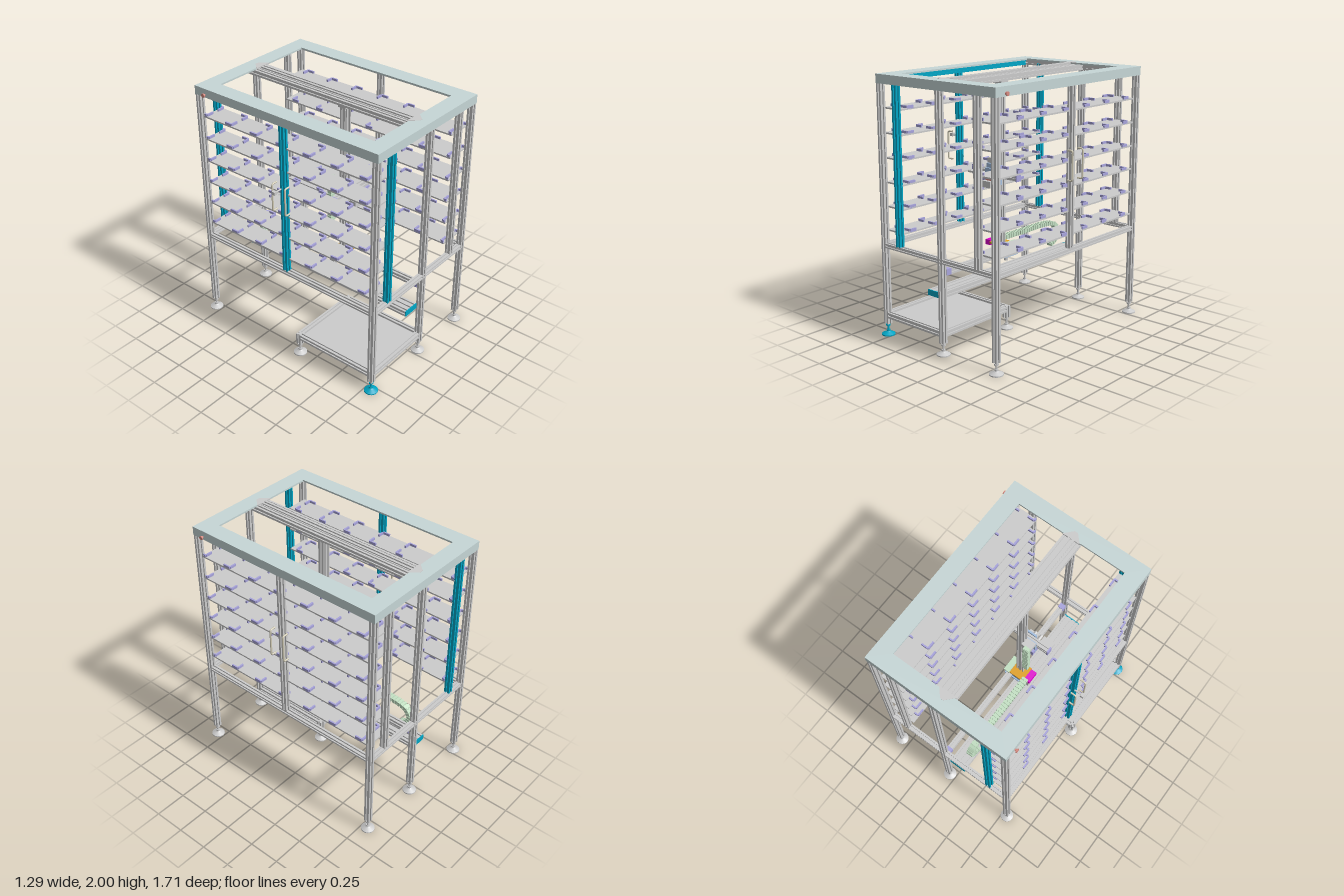
import * as THREE from 'three';

const mat = (color) => new THREE.MeshStandardMaterial({ color, side: THREE.DoubleSide });
const GREY = mat(0xcccccc), CYAN = mat(0x00a5c4), PALE = mat(0xc6d6d6), LILAC = mat(0xa8a4dc),
  GREEN = mat(0xc3e0c3), BLUE = mat(0xa3bfe0), MAGENTA = mat(0xe000d0), RED = mat(0xd88a80),
  CREAM = mat(0xd8d2bc), ORANGE = mat(0xe0a020);
const P = 0.044; // width of one slotted profile

export function createModel() {
  const model = new THREE.Group();
  const add = (name, geo, m = GREY, x = 0, y = 0, z = 0) => {
    const mesh = new THREE.Mesh(geo, m);
    mesh.name = name;
    mesh.position.set(x, y, z);
    model.add(mesh);
    return mesh;
  };
  // box from min and max on each axis
  const box = (name, x0, x1, y0, y1, z0, z1, m) =>
    add(name, new THREE.BoxGeometry(x1 - x0, y1 - y0, z1 - z0), m, (x0 + x1) / 2, (y0 + y1) / 2, (z0 + z1) / 2);
  const cyl = (name, r, h, x, y, z, m, axis = 'y') => {
    const c = add(name, new THREE.CylinderGeometry(r, r, h, 20), m, x, y, z);
    if (axis === 'x') c.rotation.z = Math.PI / 2;
    if (axis === 'z') c.rotation.x = Math.PI / 2;
    return c;
  };

  // slotted aluminium bar: grooves run along every side
  const slotShape = (w, h) => {
    const pts = [], g = 0.006, d = 0.01;
    const corners = [[-w / 2, -h / 2], [w / 2, -h / 2], [w / 2, h / 2], [-w / 2, h / 2]];
    corners.forEach(([ax, ay], i) => {
      const [bx, by] = corners[(i + 1) % 4];
      const len = Math.hypot(bx - ax, by - ay), ux = (bx - ax) / len, uy = (by - ay) / len;
      const n = Math.max(1, Math.round(len / P));
      const at = (t, s) => pts.push(new THREE.Vector2(ax + ux * t - uy * s, ay + uy * t + ux * s));
      at(0, 0);
      for (let k = 0; k < n; k++) {
        const c = len * (k + 0.5) / n;
        at(c - g, 0); at(c - g, d); at(c + g, d); at(c + g, 0);
      }
    });
    return new THREE.Shape(pts);
  };
  const bar = (name, axis, a, b, x, y, z, m = GREY, w = P, h = P) => {
    const geo = new THREE.ExtrudeGeometry(slotShape(w, h), { depth: b - a, bevelEnabled: false });
    geo.translate(0, 0, a);
    if (axis === 'x') geo.rotateY(Math.PI / 2);
    if (axis === 'y') geo.rotateX(-Math.PI / 2);
    return add(name, geo, m, x, y, z);
  };

  // main posts
  for (const z of [-0.805, 0.805]) {
    for (const x of [-0.542, 0.055, 0.572]) bar('post', 'y', 0.09, 1.95, x, 0, z);
    bar('shelfPostRight', 'y', 0.73, 1.95, -0.38, 0, z, CYAN);
    bar('shelfPostLeft', 'y', 0.73, 1.95, 0.412, 0, z);
    bar('middleCrossbar', 'x', -0.52, 0.55, 0, 0.717, z, GREY, P, 0.034);
    bar('topCrossbar', 'x', -0.52, 0.55, 0, 1.956, z);
  }
  for (const [x, m] of [[-0.542, CYAN], [0.572, GREY]]) {
    bar('sideMiddlePost', 'y', 0.73, 1.95, x, 0, 0, m);
    bar('sideTopBar', 'z', -0.783, 0.783, x, 1.956, 0, m);
    bar('sideLowerBar', 'z', -0.783, 0.783, x, 0.717, 0, GREY, P, 0.036);
  }

  // levelling feet
  const footProfile = [[0, 0], [0.052, 0], [0.052, 0.009], [0.022, 0.024], [0.014, 0.03], [0.014, 0.042],
    [0.008, 0.042], [0.008, 0.072], [0.017, 0.072], [0.017, 0.084], [0.008, 0.084], [0.008, 0.1], [0, 0.1]]
    .map(([r, y]) => new THREE.Vector2(r, y));
  for (const x of [-0.542, 0.055, 0.572]) for (const z of [-0.805, 0.115, 0.805]) {
    if (x > 0.5 && z === 0.115) continue;
    const foot = add('foot', new THREE.LatheGeometry(footProfile, 28), x < -0.5 && z > 0.5 ? CYAN : GREY, x, 0, z);
    foot.geometry = foot.geometry.toNonIndexed();
    foot.geometry.computeVertexNormals();
  }

  // roof cover: flat ring with an outer skirt
  const ring = (o, i, y0, y1, name) => {
    const rect = (p, [x0, x1, z]) =>
      p.moveTo(x0, -z).lineTo(x1, -z).lineTo(x1, z).lineTo(x0, z).closePath();
    const s = rect(new THREE.Shape(), o);
    s.holes.push(rect(new THREE.Path(), i));
    const geo = new THREE.ExtrudeGeometry(s, { depth: y1 - y0, bevelEnabled: false });
    add(name, geo.rotateX(-Math.PI / 2), PALE, 0, y0, 0);
  };
  ring([-0.565, 0.595, 0.83], [-0.433, 0.46, 0.698], 1.985, 1.998, 'roofPlate');
  ring([-0.565, 0.595, 0.83], [-0.561, 0.591, 0.826], 1.93, 1.998, 'roofSkirt');

  // roof beam with pointed ends
  bar('roofBeam', 'z', -0.78, 0.78, 0.008, 1.957, 0, GREY, 0.145, P);
  bar('roofRail', 'z', -0.7, 0.7, 0.008, 1.989, 0, GREY, 0.05, 0.02);
  for (const s of [-1, 1]) {
    const tip = new THREE.Shape([[-0.065, 0.69], [0.08, 0.69], [0.022, 0.755], [-0.005, 0.755]]
      .map(([x, z]) => new THREE.Vector2(x, -s * z)));
    add('beamTip', new THREE.ExtrudeGeometry(tip, { depth: 0.01, bevelEnabled: false }).rotateX(-Math.PI / 2), GREY, 0, 1.99, 0);
  }

  // shelves with corner clips on both edges
  const shelfY = [0.83, 1.012, 1.196, 1.38, 1.565, 1.75];
  for (const [s, inner, outer] of [[-1, -0.357, -0.535], [1, 0.362, 0.565]]) for (const y of shelfY) {
    box('shelf', Math.min(inner, outer), Math.max(inner, outer), y - 0.006, y + 0.006, -0.785, 0.785);
    for (let k = 0; k < 7; k++) {
      const z = -0.72 * s + s * k * 0.2465;
      if (Math.abs(z) > 0.78) continue;
      const z1 = THREE.MathUtils.clamp(z + s * 0.06, -0.78, 0.78);
      for (const [x, d] of [[inner, s], [outer, -s]]) {
        const xa = x + d * 0.006, xb = x + d * 0.062;
        box('clipArm', Math.min(xa, xb), Math.max(xa, xb), y, y + 0.024, z - 0.006, z + 0.006, LILAC);
        box('clipStop', xa - 0.006, xa + 0.006, y, y + 0.024, Math.min(z, z1), Math.max(z, z1), LILAC);
      }
    }
  }

  // low tray stand at the front
  for (const z of [0.115, 0.805]) bar('trayCrossbar', 'x', -0.52, 0.033, 0, 0.163, z);
  for (const x of [-0.542, 0.055]) {
    bar('traySidebar', 'z', 0.137, 0.783, x, 0.163, 0);
    bar('trayLeg', 'y', 0.09, 0.185, x, 0, 0.115);
  }
  box('trayPlate', -0.525, 0.04, 0.155, 0.167, 0.13, 0.79);

  // floor rails for the moving column
  bar('upperRail', 'z', -0.783, 0.783, 0.055, 0.626, 0);
  bar('lowerRail', 'z', -0.783, 0.783, -0.04, 0.44, 0, GREY, 0.14, P);
  for (const s of [-1, 1]) {
    box('railEndBlock', 0.03, 0.08, 0.605, 0.652, s * 0.76 - 0.022, s * 0.76 + 0.022, LILAC);
    box('railEndCap', -0.11, 0.03, 0.418, 0.462, s * 0.786 - 0.004, s * 0.786 + 0.004, CYAN);
  }

  // moving column and its foot carriage
  bar('column', 'y', 0.65, 1.93, -0.005, 0, 0.115, GREY, 0.066, P);
  box('columnHead', -0.045, 0.04, 1.91, 1.935, 0.08, 0.15);
  box('columnRail', 0.012, 0.022, 0.75, 1.9, 0.137, 0.147);
  box('carriagePlate', -0.04, 0.1, 0.595, 0.61, 0.03, 0.185, BLUE);
  box('carriageFront', -0.04, 0.03, 0.61, 0.7, 0.165, 0.18, LILAC);
  box('carriageBack', -0.04, 0.03, 0.61, 0.66, 0.04, 0.055, BLUE);
  box('carriageTop', -0.08, 0.1, 0.672, 0.685, 0.03, 0.16, ORANGE);
  box('carriageCover', 0.05, 0.1, 0.685, 0.7, 0.02, 0.16, GREEN);
  box('cableBox', -0.13, -0.08, 0.655, 0.695, 0.05, 0.15, MAGENTA);
  box('driveMotor', -0.115, -0.078, 0.555, 0.655, 0.06, 0.1);
  cyl('motorShaft', 0.015, 0.06, 0.02, 0.57, 0.08);

  // lifting arm
  bar('arm', 'x', -0.205, 0.225, 0, 1.24, 0.178, GREY, P, 0.05);
  for (const x of [-0.207, 0.227]) box('armEnd', x - 0.006, x + 0.006, 1.21, 1.27, 0.153, 0.203, LILAC);
  box('liftPlate', -0.11, 0.03, 1.15, 1.3, 0.137, 0.155, BLUE);
  box('liftBlock', -0.07, 0.03, 1.2, 1.28, 0.2, 0.215, BLUE);
  box('gripperBody', -0.06, 0.02, 1.14, 1.19, 0.155, 0.26);
  box('gripperPad', -0.05, 0.01, 1.165, 1.215, 0.205, 0.23, RED);
  for (const x of [-0.09, -0.04]) cyl('gripperPin', 0.013, 0.05, x, 1.235, 0.225, GREY, 'z');
  box('armFinger', -0.21, -0.11, 1.232, 1.246, 0.2, 0.255);
  box('liftMotor', -0.11, -0.075, 1.14, 1.2, 0.11, 0.2, LILAC);

  // cable chains made of links along a path
  const chain = (name, pts, x, width, count) => {
    const path = new THREE.CatmullRomCurve3(pts.map(([y, z]) => new THREE.Vector3(x, y, z)), false, 'centripetal');
    const step = path.getLength() / count;
    for (let i = 0; i < count; i++) {
      const u = (i + 0.5) / count, t = path.getTangentAt(u), p = path.getPointAt(u);
      const angle = Math.atan2(-t.y, t.z);
      const link = add(name, new THREE.BoxGeometry(width, 0.034, step * 0.7), GREEN, p.x, p.y, p.z);
      const core = add(name + 'Core', new THREE.BoxGeometry(width * 0.8, 0.022, step * 1.1), GREEN, p.x, p.y, p.z);
      link.rotation.x = core.rotation.x = angle;
    }
  };
  chain('floorChain', [[0.685, 0.06], [0.685, -0.25], [0.68, -0.57], [0.655, -0.64], [0.59, -0.672],
    [0.525, -0.64], [0.495, -0.58]], -0.088, 0.055, 34);
  chain('columnChain', [[0.97, 0.055], [1.15, 0.055], [1.36, 0.055]], -0.088, 0.05, 16);
  box('chainBracket', -0.115, -0.03, 1.3, 1.34, 0.07, 0.137);

  // pull handles on both sides
  for (const [s, x] of [[-1, -0.56], [1, 0.59]]) for (const z of [-0.06, 0.06]) {
    const path = new THREE.CurvePath();
    const v = (dx, y) => new THREE.Vector3(x + s * dx, y, z);
    path.add(new THREE.LineCurve3(v(0, 1.255), v(0.03, 1.255)));
    path.add(new THREE.QuadraticBezierCurve3(v(0.03, 1.255), v(0.045, 1.255), v(0.045, 1.27)));
    path.add(new THREE.LineCurve3(v(0.045, 1.27), v(0.045, 1.46)));
    path.add(new THREE.QuadraticBezierCurve3(v(0.045, 1.46), v(0.045, 1.475), v(0.03, 1.475)));
    path.add(new THREE.LineCurve3(v(0.03, 1.475), v(0, 1.475)));
    add('handle', new THREE.TubeGeometry(path, 40, 0.007, 8), CREAM);
  }

  // lock and push buttons
  box('lock', -0.647, -0.62, 1.42, 1.445, -0.03, 0);
  cyl('lockPin', 0.006, 0.07, -0.595, 1.432, -0.015, GREY, 'x');
  for (const [x, z] of [[-0.575, -0.73], [0.605, 0.73]]) {
    cyl('buttonStem', 0.008, 0.02, x, 1.95, z, RED, 'x');
    cyl('buttonCap', 0.015, 0.01, x + Math.sign(x) * 0.006, 1.95, z, RED, 'x');
  }
  return model;
}
